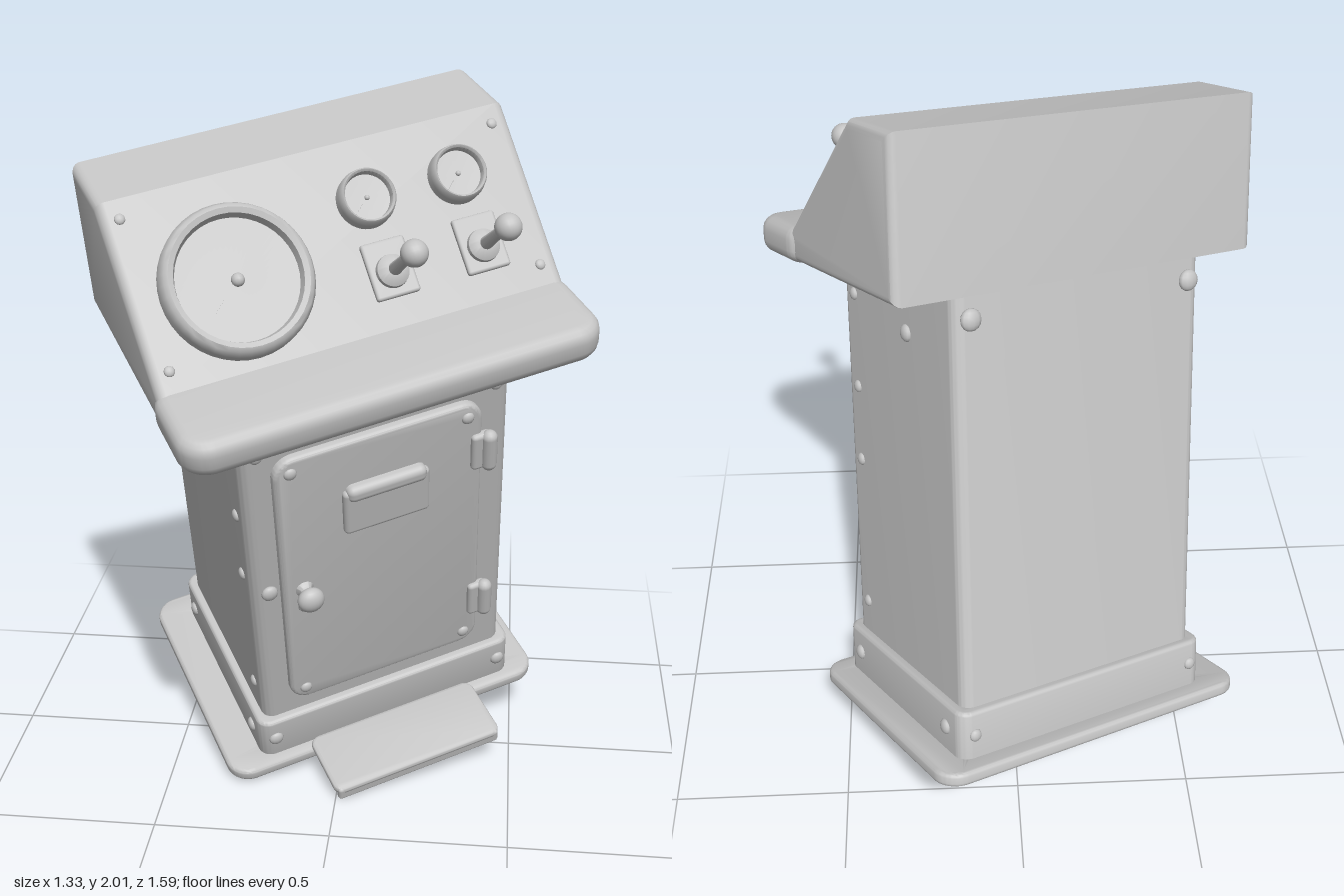
import * as THREE from 'three';
import { toCreasedNormals } from 'three/addons/utils/BufferGeometryUtils.js';
import { RoundedBoxGeometry } from 'three/addons/geometries/RoundedBoxGeometry.js';

const grey = new THREE.MeshStandardMaterial({ color: 0xc4c4c4 });
grey.name = 'plain grey';

function add(parent, name, geometry, x = 0, y = 0, z = 0) {
  const mesh = new THREE.Mesh(geometry, grey);
  mesh.name = name;
  mesh.position.set(x, y, z);
  parent.add(mesh);
  return mesh;
}

// rounded rectangle traced on a Shape or Path
function roundRect(path, x0, x1, y0, y1, r) {
  path.moveTo(x0 + r, y0);
  path.lineTo(x1 - r, y0);
  path.absarc(x1 - r, y0 + r, r, -Math.PI / 2, 0);
  path.lineTo(x1, y1 - r);
  path.absarc(x1 - r, y1 - r, r, 0, Math.PI / 2);
  path.lineTo(x0 + r, y1);
  path.absarc(x0 + r, y1 - r, r, Math.PI / 2, Math.PI);
  path.lineTo(x0, y0 + r);
  path.absarc(x0 + r, y0 + r, r, Math.PI, Math.PI * 1.5);
  return path;
}

// extrusion from z = 0 to z = depth with rounded rims kept inside the outline
function extrude(shape, depth, bevel) {
  const g = new THREE.ExtrudeGeometry(shape, {
    depth: depth - 2 * bevel, bevelEnabled: bevel > 0, bevelThickness: bevel,
    bevelSize: bevel, bevelOffset: -bevel, bevelSegments: 4, curveSegments: 8,
  });
  g.translate(0, 0, bevel);
  return toCreasedNormals(g, 0.6);
}

// horizontal slab, optionally with a rectangular opening
function slab([x0, x1], [z0, z1], [y0, y1], r, bevel, hole) {
  const shape = roundRect(new THREE.Shape(), x0, x1, -z1, -z0, r);
  if (hole) shape.holes.push(roundRect(new THREE.Path(), hole[0], hole[1], -hole[3], -hole[2], 0.02));
  return extrude(shape, y1 - y0, bevel).rotateX(-Math.PI / 2).translate(0, y0, 0);
}

// side profile of [z, y] points swept across x
function sweep(profile, x0, x1, bevel) {
  const shape = new THREE.Shape(profile.map(p => new THREE.Vector2(...p)));
  return extrude(shape, x1 - x0, bevel).rotateY(-Math.PI / 2).translate(x1, 0, 0);
}

function lathe(points) {
  const g = new THREE.LatheGeometry(points.map(p => new THREE.Vector2(...p)), 40);
  return toCreasedNormals(g.rotateX(Math.PI / 2), 0.7);
}

function bolt(parent, x, y, z, axis, r = 0.018) {
  const m = add(parent, 'bolt', new THREE.SphereGeometry(r, 12, 8), x, y, z);
  m.scale[axis] = 0.6;
}

function gauge(panel, name, x, s, r, height) {
  const g = new THREE.Group();
  g.name = name;
  g.position.set(x, -s, 0);
  const t = r * 0.1;
  add(g, 'bezelAndDial', lathe([
    [r, -0.01], [r, height * 0.5], [r - t * 0.5, height * 0.9], [r - t, height],
    [r - t * 1.7, height * 0.9], [r - t * 2, height * 0.5], [0.0001, height * 0.45]]));
  const needle = add(g, 'needle', new THREE.BoxGeometry(r * 0.5, r * 0.04, 0.008),
    -r * 0.42, -r * 0.38, height * 0.5);
  needle.rotation.z = 0.73;
  add(g, 'needleHub', new THREE.SphereGeometry(r * 0.09, 12, 8), 0, 0, height * 0.5);
  panel.add(g);
}

function lever(panel, x, s) {
  const g = new THREE.Group();
  g.name = 'lever';
  g.position.set(x, -s, 0);
  add(g, 'leverPlate', new RoundedBoxGeometry(0.12, 0.15, 0.02, 2, 0.008), 0, 0.01, 0.003);
  add(g, 'leverCollar', lathe([[0.045, 0], [0.042, 0.025], [0.025, 0.04], [0.0001, 0.045]]));
  add(g, 'leverRod', lathe([[0.018, 0.02], [0.013, 0.17]]));
  add(g, 'leverBall', new THREE.SphereGeometry(0.035, 20, 14), 0.01, 0, 0.175);
  panel.add(g);
}

export function createModel() {
  const model = new THREE.Group();
  model.name = 'controlConsole';
  const body = new THREE.Group();
  body.name = 'consoleBody';
  model.add(body);

  // hollow cabinet with plinth and floor flange
  add(body, 'cabinet', slab([-0.27, 0.5], [-0.58, 0.045], [0.1, 1.45], 0.035, 0,
    [-0.24, 0.47, -0.55, 0.015]));
  const opening = [-0.25, 0.48, -0.56, 0.025];
  add(body, 'plinth', slab([-0.295, 0.525], [-0.605, 0.07], [0.1, 0.27], 0.04, 0.012, opening));
  add(body, 'floorFlange', slab([-0.4, 0.605], [-0.66, 0.105], [0.09, 0.13], 0.07, 0.012, opening));

  // kick plate with a turned-down front edge
  add(body, 'kickPlate', slab([-0.15, 0.385], [0.07, 0.285], [0.12, 0.145], 0.03, 0.01));
  add(body, 'kickPlateEdge', new RoundedBoxGeometry(0.52, 0.045, 0.025, 3, 0.01), 0.117, 0.121, 0.272);

  // desk head with sloped panel, front ledge and support under it
  add(body, 'deskHead', sweep([[-0.585, 1.42], [0.04, 1.42], [0.03, 1.5], [-0.005, 1.515],
    [-0.37, 1.85], [-0.585, 1.845]], -0.44, 0.67, 0.025));
  add(body, 'frontLedge', slab([-0.45, 0.68], [-0.07, 0.22], [1.415, 1.515], 0.08, 0.035));
  add(body, 'ledgeSupport', sweep([[0, 1.32], [0.05, 1.32], [0.14, 1.42], [0.14, 1.44], [0, 1.44]],
    -0.24, 0.47, 0.01));

  // instruments on the sloped panel
  const panel = new THREE.Group();
  panel.name = 'instrumentPanel';
  panel.position.set(0, 1.85, -0.37);
  panel.rotation.x = -Math.atan2(0.365, 0.335);
  body.add(panel);
  gauge(panel, 'largeGauge', -0.165, 0.275, 0.195, 0.06);
  for (const x of [0.22, 0.475]) {
    gauge(panel, 'smallGauge', x, 0.16, 0.075, 0.05);
    lever(panel, x + 0.005, 0.355);
  }
  for (const x of [-0.39, 0.62]) for (const s of [0.05, 0.44]) bolt(panel, x, -s, 0, 'z', 0.014);

  // door with nameplate, knob, hinges and corner bolts
  const doorShape = roundRect(new THREE.Shape(), -0.19, 0.405, 0.335, 1.26, 0.06);
  add(body, 'door', extrude(doorShape, 0.04, 0.012), 0, 0, 0.03);
  add(body, 'doorHood', new RoundedBoxGeometry(0.25, 0.15, 0.03, 3, 0.014), 0.118, 1.025, 0.075);
  add(body, 'doorHoodBrow', new RoundedBoxGeometry(0.23, 0.05, 0.05, 3, 0.02), 0.118, 1.09, 0.075);
  add(body, 'knobStem', lathe([[0.03, 0], [0.018, 0.015], [0.016, 0.04]]), -0.128, 0.785, 0.065);
  add(body, 'doorKnob', new THREE.SphereGeometry(0.038, 20, 14), -0.128, 0.785, 0.115).scale.z = 0.75;
  bolt(body, -0.13, 0.72, 0.07, 'z', 0.02);
  bolt(body, -0.222, 0.79, 0.05, 'z', 0.024);
  for (const y of [1.09, 0.515]) {
    add(body, 'hingeLeaf', new RoundedBoxGeometry(0.06, 0.12, 0.03, 2, 0.012), 0.4, y, 0.07);
    add(body, 'hingePin', new THREE.CapsuleGeometry(0.022, 0.09, 4, 14), 0.42, y, 0.082);
  }
  for (const x of [-0.145, 0.36]) for (const y of [0.38, 1.215]) bolt(body, x, y, 0.07, 'z');

  // bolts on cabinet sides, front corners, plinth and back
  for (const [x, px] of [[-0.27, -0.295], [0.5, 0.525]]) {
    for (const y of [0.37, 0.82, 1.04, 1.31]) bolt(body, x, y, -0.025, 'x');
    bolt(body, x, 1.27, -0.325, 'x', 0.024);
    for (const z of [-0.01, -0.52]) bolt(body, px, 0.2, z, 'x', 0.022);
    const inset = x < 0 ? 0.045 : -0.045;
    bolt(body, x + inset, 1.28, 0.045, 'z');
    bolt(body, px + inset, 0.2, 0.07, 'z', 0.022);
    bolt(body, px + inset, 0.2, -0.605, 'z', 0.018);
    bolt(body, x + inset, 1.36, -0.585, 'z', 0.03);
  }

  // lean and turn of the whole console
  const across = new THREE.Vector3(0.874, 0.148, -0.463).normalize();
  const forward = across.clone().cross(new THREE.Vector3(0, 0.954, 0.3)).normalize();
  const up = forward.clone().cross(across);
  body.quaternion.setFromRotationMatrix(new THREE.Matrix4().makeBasis(across, up, forward));
  return model;
}
